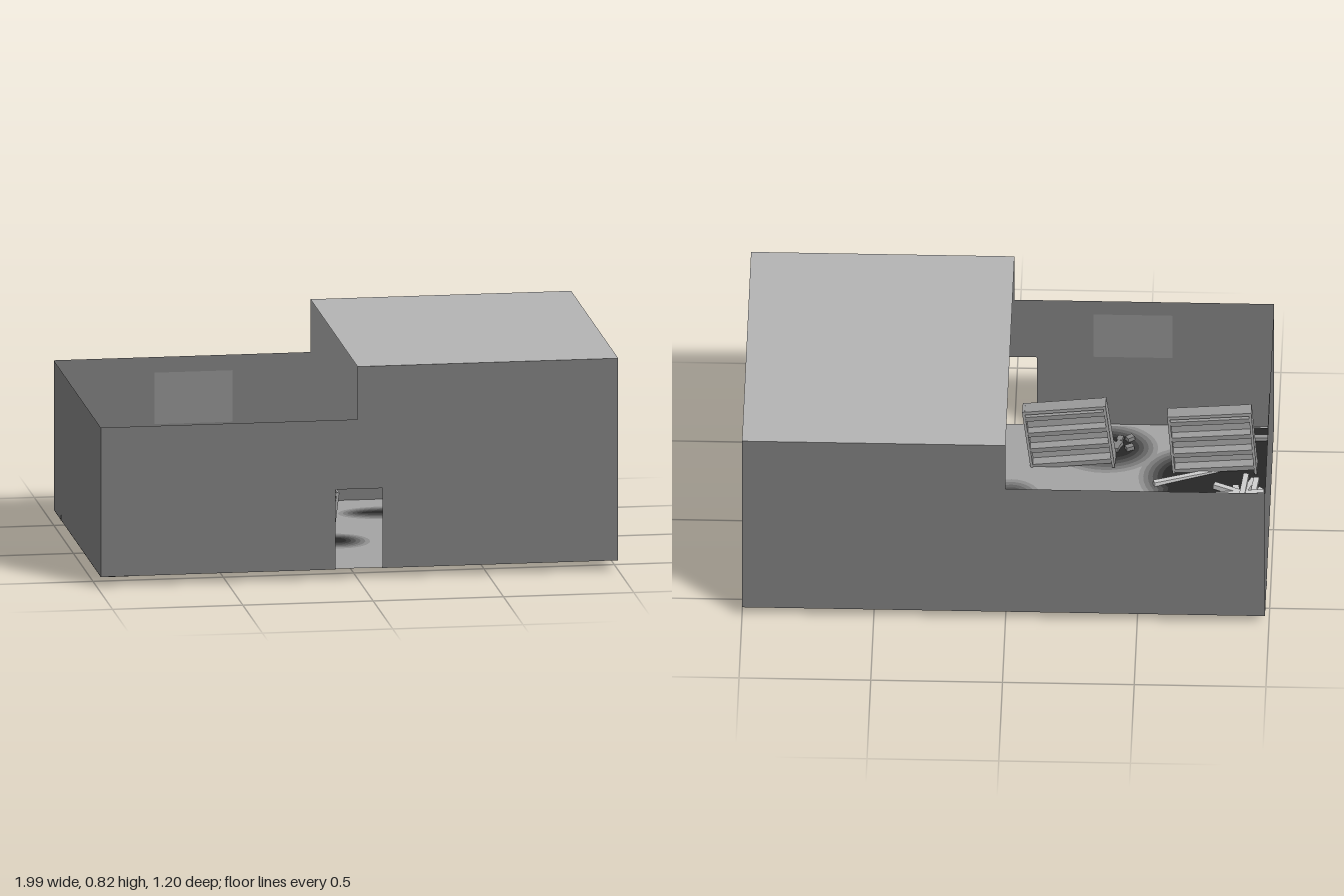
import * as THREE from 'three';

const paint = color => new THREE.MeshStandardMaterial({ color, side: THREE.DoubleSide });
const wallPaint = paint(0x757575), panePaint = paint(0x848484), roofPaint = paint(0xb2b2b2);
const floorPaint = paint(0xa2a2a2), rackPaint = paint(0x9b9b9b), woodPaint = paint(0xbebebe);
const darkWood = paint(0x949494), rubblePaint = paint(0x848484);
const sootTones = [0x8e8e8e, 0x787878, 0x626262, 0x4c4c4c, 0x383838, 0x262626].map(paint);
const L = -0.985, R = 1, Z = 0.602, FLOOR = 0.04, LOW = 0.62, HIGH = 0.825;

let seed = 7;
const rand = () => (seed = (seed * 16807) % 2147483647) / 2147483647;

const outline = pts => new THREE.Shape(pts.map(p => new THREE.Vector2(...p)));

function add(parent, name, geometry, material) {
  const mesh = new THREE.Mesh(geometry, material);
  mesh.name = name;
  parent.add(mesh);
  return mesh;
}

// Flat horizontal sheet from an (x, z) shape
function sheet(parent, name, shape, y, material) {
  const g = new THREE.ShapeGeometry(shape).rotateX(Math.PI / 2);
  add(parent, name, g, material).position.y = y;
}

// Soot spot: an ellipse held inside the walls
function spot(x, z, rx, rz) {
  const pts = [];
  for (let i = 0; i < 32; i++) {
    const a = i / 32 * Math.PI * 2;
    pts.push([THREE.MathUtils.clamp(x + rx * Math.cos(a), L + 0.002, R - 0.002),
      THREE.MathUtils.clamp(z + rz * Math.sin(a), 0.012 - Z, Z - 0.012)]);
  }
  return outline(pts);
}

// Square timber between two points
function beam(parent, name, a, b, t, material = woodPaint) {
  const p = new THREE.Vector3(...a), q = new THREE.Vector3(...b);
  const m = add(parent, name, new THREE.BoxGeometry(t, t, p.distanceTo(q)), material);
  m.position.copy(p).lerp(q, 0.5);
  m.lookAt(q);
}

// Two-sided display rack: tapered ends, middle panel, boards sloping out on both faces
function rack(x, y, z, roll, yaw) {
  const g = new THREE.Group(), w = 0.32, h = 0.28;
  g.name = 'rack';
  const end = outline([[-0.042, 0], [0.042, 0], [0.03, h], [-0.03, h]]);
  for (const s of [-1, 1]) {
    const panel = add(g, 'endPanel', new THREE.ExtrudeGeometry(end, { depth: 0.01, bevelEnabled: false }), rackPaint);
    panel.rotation.y = Math.PI / 2;
    panel.position.x = s * (w / 2 - 0.005) - 0.005;
  }
  add(g, 'middlePanel', new THREE.BoxGeometry(w - 0.02, h - 0.02, 0.01), rackPaint).position.y = h / 2;
  for (let i = 0; i < 4; i++) {
    const d = 0.036 - i * 0.0025, by = 0.03 + i * 0.072;
    for (const s of [-1, 1]) {
      const board = add(g, 'board', new THREE.BoxGeometry(w - 0.02, 0.024, d), rackPaint);
      board.position.set(0, by, s * d / 2);
      board.rotation.x = s * 0.2;
    }
  }
  add(g, 'topBoard', new THREE.BoxGeometry(w - 0.02, 0.014, 0.058), rackPaint).position.y = h - 0.008;
  g.position.set(x, y, z);
  g.rotation.set(0, yaw, roll);
  return g;
}

export function createModel() {
  const model = new THREE.Group();
  model.name = 'ruinedHall';

  // Shell: stepped long walls, doorway in the front one
  const top = [[R, FLOOR], [R, HIGH], [0, HIGH], [0, LOW], [L, LOW], [L, FLOOR]];
  const door = [[-0.085, FLOOR], [-0.085, 0.35], [0.095, 0.35], [0.095, FLOOR]];
  add(model, 'frontWall', new THREE.ShapeGeometry(outline([...top, ...door])), wallPaint).position.z = Z;
  add(model, 'backWall', new THREE.ShapeGeometry(outline(top)), wallPaint).position.z = -Z;
  for (const [x, h] of [[L, LOW], [R, HIGH]]) {
    const wall = add(model, 'endWall', new THREE.PlaneGeometry(2 * Z, h - FLOOR), wallPaint);
    wall.rotation.y = Math.PI / 2;
    wall.position.set(x, (h + FLOOR) / 2, 0);
  }
  sheet(model, 'roof', outline([[0, -Z], [R, -Z], [R, Z], [0, Z]]), HIGH, roofPaint);

  // Pale window panels on the inside of the walls
  const pane = new THREE.PlaneGeometry(0.3, 0.2);
  for (const s of [-1, 1])
    for (const x of [-0.45, 0.4])
      add(model, 'windowPanel', pane, panePaint).position.set(x, 0.46, s * (Z - 0.004));
  const endPane = add(model, 'windowPanel', pane, panePaint);
  endPane.rotation.y = Math.PI / 2;
  endPane.position.set(L + 0.004, 0.46, 0);

  // Floor, cut back slightly at the doorway
  sheet(model, 'floor', outline([[L, -Z], [R, -Z], [R, Z], [0.095, Z], [0.095, Z - 0.01],
    [-0.085, Z - 0.01], [-0.085, Z], [L, Z]]), FLOOR, floorPaint);

  // Soot fading outwards on both faces of the floor: x, z, core radii
  const burns = [[-0.94, -0.5, 0.12, 0.12], [-0.8, -0.14, 0.26, 0.2], [-0.85, 0.15, 0.26, 0.24],
    [-0.55, -0.1, 0.11, 0.15], [-0.46, -0.45, 0.08, 0.1], [-0.52, -0.27, 0.1, 0.1], [-0.35, 0.45, 0.11, 0.07],
    [-0.93, 0.45, 0.14, 0.15], [-0.66, 0.27, 0.09, 0.1], [0, 0.11, 0.03, 0.04], [0.24, -0.36, 0.08, 0.02],
    [0.83, 0.38, 0.06, 0.01], [0.44, 0.22, 0.01, 0.005]];
  sootTones.forEach((tone, i) => {
    const spread = (sootTones.length - 1 - i) * 0.018, lift = 0.0006 * (i + 1);
    for (const side of [-1, 1])
      for (const [x, z, rx, rz] of burns)
        sheet(model, 'scorchMark', spot(x, z, rx + spread, rz + spread), FLOOR + side * lift, tone);
  });

  // Racks: sunken and leaning in the open half, upright under the roof
  for (const [x, y, z, roll, yaw] of [
    [-0.8, 0.034, -0.31, -0.08, -0.02], [-0.232, 0.022, -0.335, -0.13, 0.02],
    [-0.77, 0.035, 0.33, -0.08, 0], [-0.232, 0.033, 0.355, -0.13, -0.03],
    [0.775, FLOOR, 0.345, 0, 0], [0.775, FLOOR, -0.335, 0, 0]]) model.add(rack(x, y, z, roll, yaw));

  // Fallen beams
  beam(model, 'fallenBeam', [-0.28, 0.032, -0.53], [0.02, 0.072, -0.365], 0.026);
  beam(model, 'fallenBeam', [-0.38, 0.075, -0.045], [-0.84, 0.03, 0.125], 0.027);
  beam(model, 'fallenBeam', [-0.54, 0.05, 0.215], [-0.92, 0.036, 0.37], 0.02);
  beam(model, 'fallenBeam', [-0.62, 0.058, 0.49], [-0.97, 0.046, 0.52], 0.022, darkWood);

  // Heap of sticks: x1, z1, x2, z2
  [[-0.89, -0.07, -0.85, 0.22], [-0.96, 0.15, -0.74, 0.12], [-0.94, 0.03, -0.8, 0.2],
    [-0.81, -0.02, -0.92, 0.23], [-0.84, 0, -0.93, 0.1], [-0.89, 0.24, -0.87, 0.05],
    [-0.95, 0.19, -0.8, 0.03], [-0.9, 0.13, -0.77, 0.19], [-0.93, 0.22, -0.91, 0.09]]
    .forEach(([x1, z1, x2, z2], i) =>
      beam(model, 'stick', [x1, 0.048 + (i % 3) * 0.015, z1], [x2, 0.035 + (i % 2) * 0.03, z2], 0.021));

  // Rubble clusters: x, z, half extents, count
  for (const [cx, cz, rx, rz, n] of [[-0.87, -0.475, 0.1, 0.075, 13], [-0.54, -0.16, 0.08, 0.09, 6], [-0.34, 0.45, 0.12, 0.05, 13]])
    for (let i = 0; i < n; i++) {
      const chunk = add(model, 'rubble', new THREE.BoxGeometry(0.03, 0.02, 0.022), rubblePaint);
      chunk.position.set(cx + (rand() * 2 - 1) * rx, FLOOR + 0.01, cz + (rand() * 2 - 1) * rz);
      chunk.rotation.y = rand() * 3;
    }
  return model;
}
